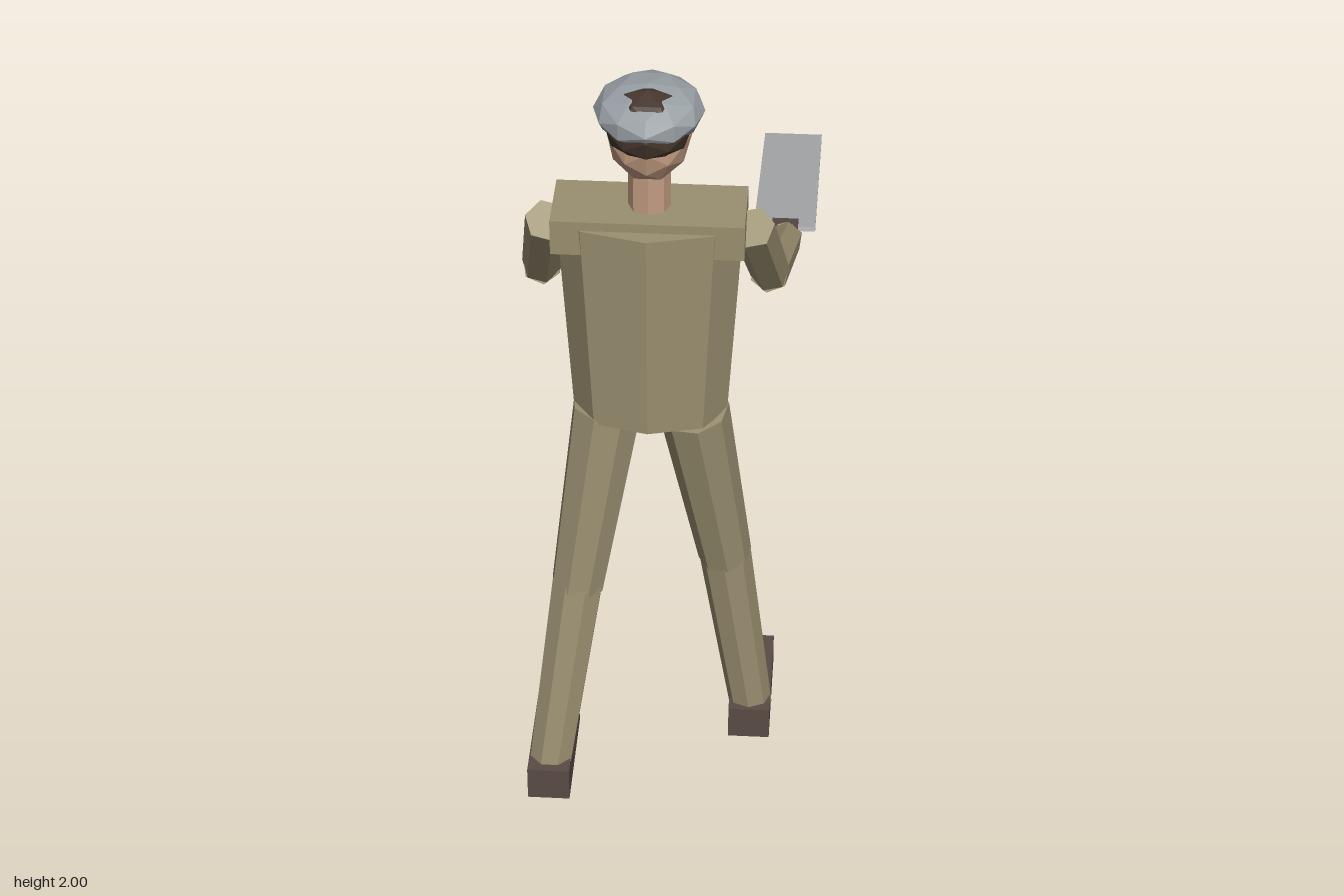
import * as THREE from 'three';

export function createModel() {
  const mat = (name, color) => {
    const m = new THREE.MeshStandardMaterial({ color, flatShading: true });
    m.name = name;
    return m;
  };
  const khaki = mat('khaki cloth', 0x9a8f70);
  const skin = mat('skin', 0xc29c82);
  const brown = mat('dark leather', 0x5a4c46);
  const hairMat = mat('hair', 0x45362c);
  const capMat = mat('cap grey', 0x99a0a5);
  const metal = mat('sheet grey', 0xaeb0b3);

  // the figure faces -z, its centre line is at x = CX, z = CZ
  const CX = -0.02, CZ = 0.55;
  const root = new THREE.Group();
  root.name = 'walkingFigure';

  const add = (name, geo, material, x, y, z, parent = root) => {
    const m = new THREE.Mesh(geo, material);
    m.name = name;
    m.position.set(x, y, z);
    parent.add(m);
    return m;
  };
  const box = (name, material, w, h, d, x, y, z) =>
    add(name, new THREE.BoxGeometry(w, h, d), material, x, y, z);
  const blob = (name, material, rx, ry, rz, x, y, z, detail = 1) =>
    add(name, new THREE.IcosahedronGeometry(1, detail).scale(rx, ry, rz), material, x, y, z);

  // tapered tube from point a to point b
  const limb = (name, a, b, ra, rb, sides) => {
    const A = new THREE.Vector3(...a), B = new THREE.Vector3(...b);
    const dir = B.clone().sub(A);
    const geo = new THREE.CylinderGeometry(rb, ra, dir.length(), sides);
    const mid = A.add(B).multiplyScalar(0.5);
    const m = add(name, geo, khaki, mid.x, mid.y, mid.z);
    m.quaternion.setFromUnitVectors(new THREE.Vector3(0, 1, 0), dir.normalize());
    return m;
  };

  // torso, shoulders and chest panel
  add('torso', new THREE.CylinderGeometry(0.22, 0.185, 0.56, 8).scale(1, 1, 0.6), khaki, CX, 1.37, CZ);
  box('shoulders', khaki, 0.45, 0.09, 0.18, CX, 1.628, CZ);
  box('chestPanel', brown, 0.19, 0.36, 0.04, CX, 1.35, 0.437);

  // neck and head
  add('neck', new THREE.CylinderGeometry(0.05, 0.05, 0.12, 8), skin, CX, 1.72, CZ);
  blob('head', skin, 0.1, 0.12, 0.115, CX, 1.875, 0.552);
  blob('nose', skin, 0.016, 0.018, 0.018, CX, 1.858, 0.438, 0);
  blob('hair', hairMat, 0.103, 0.088, 0.095, CX, 1.912, 0.585);

  // flat cap with a short peak
  blob('cap', capMat, 0.128, 0.067, 0.135, CX, 1.931, 0.552);
  box('capPeak', capMat, 0.135, 0.012, 0.14, CX, 1.896, 0.45);

  for (const s of [-1, 1]) {
    const side = s > 0 ? 'left' : 'right';
    const X = (d) => CX + s * d;

    // arms stretched forwards
    const elbow = [X(0.277), 1.365, 0.36];
    limb(side + 'UpperArm', [X(0.24), 1.62, 0.555], elbow, 0.052, 0.048, 6);
    limb(side + 'Forearm', [X(0.275), 1.372, 0.375], [X(0.305), 1.262, 0.05], 0.048, 0.043, 6);
    blob(side + 'Hand', skin, 0.036, 0.036, 0.034, X(0.302), 1.25, 0.016, 0);

    // legs in mid stride: the +x leg is in front
    const kneeZ = s > 0 ? 0.463 : 0.605;
    const ankleZ = s > 0 ? 0.433 : 0.708;
    limb(side + 'Thigh', [X(0.105), 1.09, CZ], [X(0.18), 0.58, kneeZ], 0.086, 0.067, 8);
    limb(side + 'Shin', [X(0.179), 0.59, kneeZ], [X(0.25), 0.06, ankleZ], 0.066, 0.055, 8);
    box(side + 'Shoe', brown, 0.106, 0.092, 0.3, X(0.248), s > 0 ? 0.046 : 0.055, ankleZ - 0.083);
  }

  // held sheet, tilted down away from the grip
  const tilt = -0.247;
  box('sheet', metal, 0.155, 0.012, 0.78, 0.279, 1.15, -0.398).rotation.x = tilt;
  box('sheetGrip', brown, 0.066, 0.03, 0.11, 0.28, 1.247, -0.006).rotation.x = tilt;

  return root;
}
